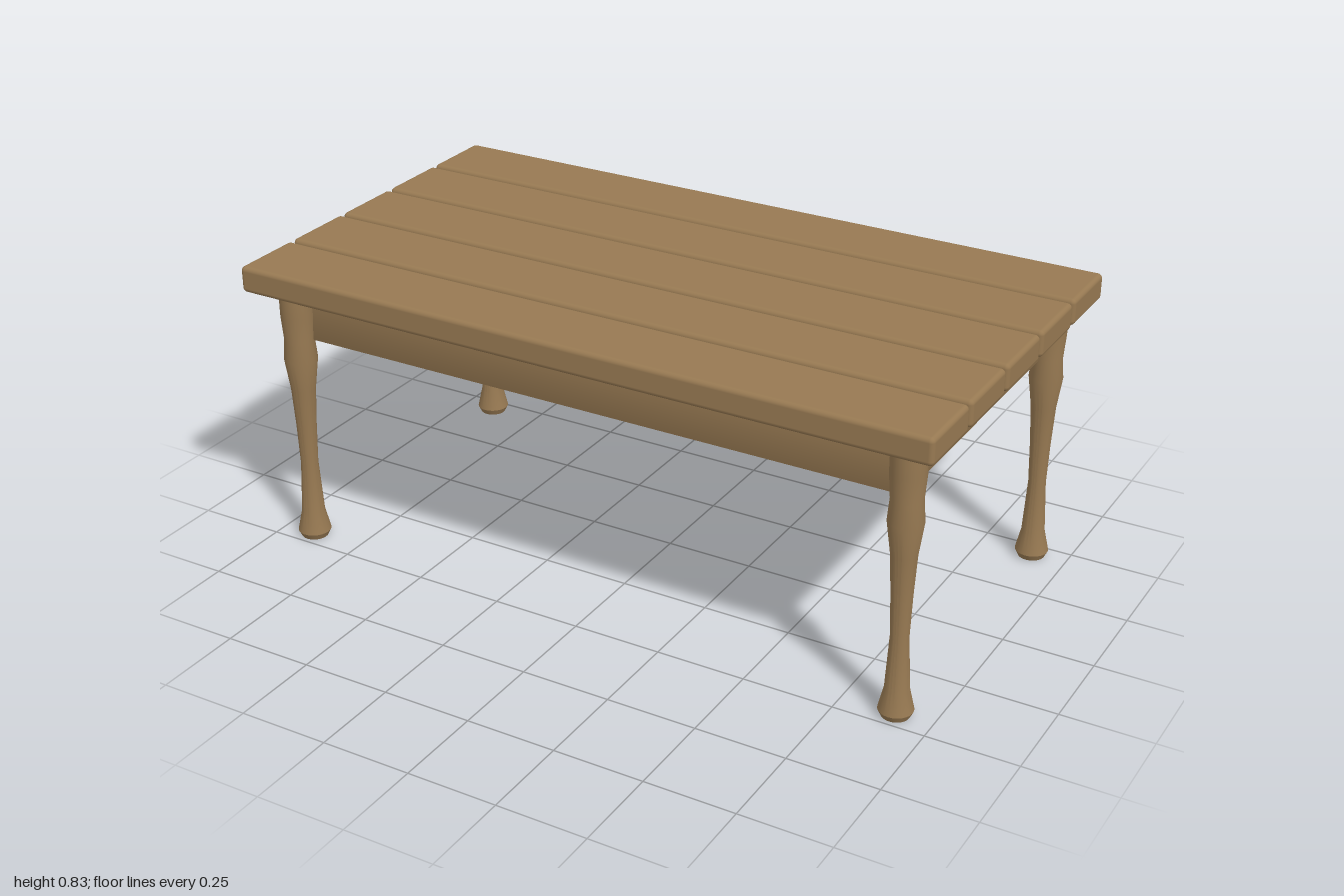
import * as THREE from 'three';
import { RoundedBoxGeometry } from 'three/addons/geometries/RoundedBoxGeometry.js';
import { toCreasedNormals } from 'three/addons/utils/BufferGeometryUtils.js';

const wood = new THREE.MeshStandardMaterial({ name: 'wood', color: 0x977952 });

function add(parent, name, geometry, x = 0, y = 0, z = 0) {
  const mesh = new THREE.Mesh(geometry, wood);
  mesh.name = name;
  mesh.position.set(x, y, z);
  parent.add(mesh);
  return mesh;
}

// Corner points of a rectangle centred on the origin
function rectangle(halfX, halfY) {
  return [[-1, -1], [1, -1], [1, 1], [-1, 1]].map(([x, y]) => new THREE.Vector2(x * halfX, y * halfY));
}

export function createModel() {
  const table = new THREE.Group();
  table.name = 'table';

  // Top: five separate planks with softened edges
  const top = new THREE.Group();
  top.name = 'tableTop';
  table.add(top);
  const plank = new RoundedBoxGeometry(2, 0.074, 0.21, 3, 0.013);
  for (let i = -2; i <= 2; i++) add(top, 'plank', plank, 0, 0.797, i * 0.2225);

  // Apron: one rectangular frame with bevelled edges, let into the planks
  const bevel = 0.008;
  const outline = new THREE.Shape(rectangle(0.89, 0.44));
  outline.holes.push(new THREE.Path(rectangle(0.815, 0.365).reverse()));
  const frame = new THREE.ExtrudeGeometry(outline, {
    depth: 0.174 - 2 * bevel, bevelEnabled: true, bevelSize: bevel,
    bevelThickness: bevel, bevelOffset: -bevel, bevelSegments: 2,
  });
  frame.rotateX(-Math.PI / 2);
  add(table, 'apron', toCreasedNormals(frame, 0.6), 0, 0.605 + bevel, 0);

  // Turned legs: radius and height from foot to top
  const profile = [
    [0, 0], [0.037, 0], [0.046, 0.018], [0.032, 0.08], [0.024, 0.23], [0.028, 0.35],
    [0.034, 0.46], [0.046, 0.55], [0.041, 0.61], [0.046, 0.68], [0.046, 0.77], [0, 0.77],
  ].map(([r, y]) => new THREE.Vector2(r, y));
  const leg = toCreasedNormals(new THREE.LatheGeometry(profile, 24), 0.45);
  for (const x of [-0.9, 0.9]) {
    for (const z of [-0.45, 0.45]) add(table, 'leg', leg, x, 0, z);
  }
  return table;
}
